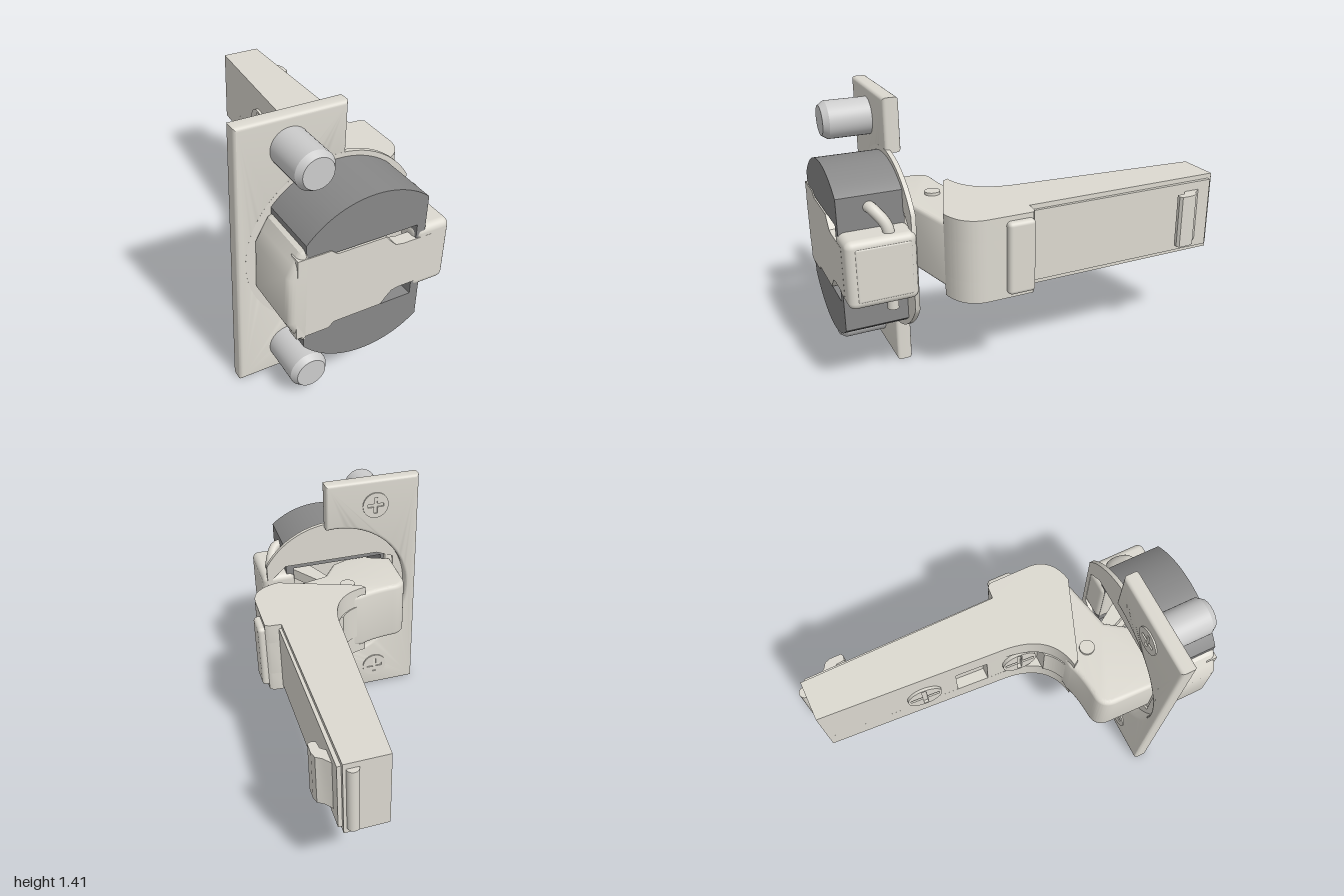
import * as THREE from 'three';
import { toCreasedNormals } from 'three/addons/utils/BufferGeometryUtils.js';
import { RoundedBoxGeometry } from 'three/addons/geometries/RoundedBoxGeometry.js';

const steel = new THREE.MeshStandardMaterial({ color: 0xdcd9d0 });
const dark = new THREE.MeshStandardMaterial({ color: 0x888888 });
const grey = new THREE.MeshStandardMaterial({ color: 0xcccccc });
const CX = -0.03, CY = 0.705; // cup axis

function add(parent, name, geometry, material = steel) {
  const mesh = new THREE.Mesh(geometry, material);
  mesh.name = name;
  parent.add(mesh);
  return mesh;
}

const poly = (pts) => new THREE.Shape(pts.map(([x, y]) => new THREE.Vector2(x, y)));

// Extrude a front outline between two depths, bevel kept inside the outline
function slab(shape, z0, z1, bevel = 0) {
  const g = new THREE.ExtrudeGeometry(shape, {
    depth: z1 - z0 - 2 * bevel, curveSegments: 32, bevelEnabled: bevel > 0,
    bevelSize: bevel, bevelThickness: bevel, bevelOffset: -bevel, bevelSegments: 4,
  });
  g.translate(0, 0, z0 + bevel);
  return toCreasedNormals(g, 0.6);
}

// Extrude a plan outline (x, -z) upwards between two heights
const layer = (shape, y0, y1, bevel = 0) => slab(shape, y0, y1, bevel).rotateX(-Math.PI / 2);
const plan = (pts) => poly(pts.map(([x, z]) => [x, -z]));

// Disc head with a sunken cross, facing +z
function screwHead(name, r, arm, w) {
  const group = new THREE.Group();
  group.name = name;
  const face = new THREE.Shape().absarc(0, 0, r, 0, Math.PI * 2);
  face.holes.push(poly([
    [arm, -w], [arm, w], [w, w], [w, arm], [-w, arm], [-w, w],
    [-arm, w], [-arm, -w], [-w, -w], [-w, -arm], [w, -arm], [w, -w],
  ]));
  add(group, 'crossFace', slab(face, -0.015, 0.01));
  add(group, 'crossFloor', new THREE.CylinderGeometry(r, r, 0.03, 32).rotateX(Math.PI / 2)).position.z = -0.03;
  return group;
}

// Plan of the arm; the recessed version has the window and screw pocket cut in
function armPlan(recessed) {
  const s = new THREE.Shape();
  s.moveTo(0.4, 0.97);
  s.lineTo(0.18, 0.97);
  if (recessed) {
    for (const [x, z] of [[0.131, -0.235], [0.19, -0.235], [0.18, -0.06], [0.119, -0.06],
      [0.115, 0.01], [0.112, 0.235], [0.035, 0.235]]) s.lineTo(x, -z);
    s.quadraticCurveTo(-0.01, -0.3, -0.12, -0.325);
  } else {
    s.lineTo(0.115, 0);
    s.bezierCurveTo(0.11, -0.16, 0.06, -0.3, -0.12, -0.325);
  }
  s.lineTo(-0.1, -0.355);
  s.lineTo(0.33, -0.52);
  s.bezierCurveTo(0.43, -0.505, 0.49, -0.45, 0.49, -0.36);
  for (const [x, z] of [[0.49, 0.13], [0.47, 0.115], [0.405, 0.11]]) s.lineTo(x, -z);
  s.closePath();
  return s;
}

function buildArm() {
  const arm = new THREE.Group();
  arm.name = 'arm';
  add(arm, 'armLower', layer(armPlan(false), 0.5, 0.61));
  add(arm, 'armMiddle', layer(armPlan(true), 0.61, 0.81));
  add(arm, 'armUpper', layer(armPlan(false), 0.81, 0.92));
  add(arm, 'innerPanel', new THREE.BoxGeometry(0.03, 0.37, 1.06)).position.set(0.405, 0.71, -0.42);

  // Narrower elbow running into the cup
  const e = new THREE.Shape();
  e.moveTo(-0.385, -0.67);
  e.lineTo(-0.38, -0.43);
  e.quadraticCurveTo(-0.375, -0.35, -0.3, -0.345);
  e.quadraticCurveTo(-0.18, -0.34, -0.1, -0.31);
  for (const [x, z] of [[0.1, 0.3], [0.35, 0.5], [0.33, 0.52], [0.04, 0.585], [-0.04, 0.7], [-0.2, 0.76], [-0.3, 0.7]]) e.lineTo(x, -z);
  e.closePath();
  add(arm, 'elbow', layer(e, 0.54, 0.88, 0.025));
  add(arm, 'pivotPin', new THREE.CylinderGeometry(0.04, 0.04, 0.37, 24)).position.set(-0.05, 0.71, 0.435);

  // Clips and lips on the inner side and the end
  add(arm, 'sideLip', new RoundedBoxGeometry(0.07, 0.37, 0.14, 3, 0.02)).position.set(0.49, 0.71, 0.2);
  add(arm, 'clip', layer(plan([[0.41, -0.89], [0.45, -0.84], [0.48, -0.82], [0.49, -0.79],
    [0.49, -0.73], [0.475, -0.72], [0.45, -0.725], [0.445, -0.77], [0.41, -0.8]]), 0.57, 0.85));
  add(arm, 'endLip', new THREE.CylinderGeometry(0.03, 0.03, 0.36, 20)).position.set(0.355, 0.71, -0.97);

  // Two adjusting screws along the outer face
  for (const [x, z] of [[0.138, -0.42], [0.1, 0.12]]) {
    const screw = screwHead('adjustingScrew', 0.095, 0.08, 0.012);
    screw.position.set(x, 0.71, z);
    screw.rotation.y = -(Math.PI / 2 + 0.067);
    arm.add(screw);
  }
  return arm;
}

function buildPlate() {
  const plate = new THREE.Group();
  plate.name = 'mountingPlate';
  // Plate with a round pocket open towards +x
  const r = 0.44, a = Math.acos(0.045 / r);
  const s = new THREE.Shape();
  s.moveTo(0.015, 0);
  s.lineTo(0.015, CY - r * Math.sin(a));
  s.absarc(CX, CY, r, -a, a, true);
  for (const [x, y] of [[0.015, 1.412], [-0.528, 1.412], [-0.528, 0]]) s.lineTo(x, y);
  s.closePath();
  add(plate, 'plate', slab(s, 0.605, 0.685, 0.018));

  // Thin round flange with the opening for the arm
  const c = Math.acos(0.39 / 0.457);
  const flange = new THREE.Shape().absarc(CX, CY, 0.457, c, Math.PI * 2 - c);
  flange.holes.push(poly([[-0.4, 0.52], [-0.3, 0.48], [0.25, 0.48], [0.33, 0.55],
    [0.33, 0.86], [0.25, 0.93], [-0.3, 0.93], [-0.4, 0.89]]));
  add(plate, 'flange', slab(flange, 0.662, 0.685));

  // Dowels in front, cross screws behind
  const dowel = [[0, 0], [0.095, 0], [0.095, 0.215], [0.075, 0.245], [0, 0.245]].map((p) => new THREE.Vector2(...p));
  for (const y of [0.15, 1.265]) {
    const g = toCreasedNormals(new THREE.LatheGeometry(dowel, 40).rotateX(Math.PI / 2), 0.5);
    add(plate, 'dowel', g, grey).position.set(-0.27, y, 0.68);
    const screw = screwHead('plateScrew', 0.075, 0.048, 0.01);
    screw.position.set(-0.27, y, 0.607);
    screw.rotation.y = Math.PI;
    plate.add(screw);
  }
  return plate;
}

function buildCup() {
  const cup = new THREE.Group();
  cup.name = 'cup';
  // Round body with flat sides, hollow from behind
  const r = 0.432, a = Math.acos(0.275 / r), b = Math.acos(-0.33 / r);
  const s = new THREE.Shape();
  s.absarc(CX, CY, r, a, b);
  s.absarc(CX, CY, r, -b, -a);
  s.closePath();
  s.holes.push(poly([[-0.33, 0.51], [0.2, 0.51], [0.2, 0.9], [-0.33, 0.9]]));
  add(cup, 'cupBody', slab(s, 0.68, 0.995), dark);

  // Front cover, wide on the left and stepped in on the right
  const half = [[-0.4, 0.215], [-0.24, 0.215], [-0.21, 0.19], [0.035, 0.19], [0.06, 0.16], [0.09, 0.13], [0.13, 0.123], [0.3, 0.123]];
  add(cup, 'frontCover', slab(poly([
    ...half.map(([x, y]) => [x, CY + y]),
    ...half.reverse().map(([x, y]) => [x, CY - y]),
  ]), 0.94, 1.0));

  // Rounded cheeks closing both sides
  add(cup, 'leftCheek', slab(poly([[-0.34, 0.965], [-0.38, 0.945], [-0.41, 0.89], [-0.442, 0.83],
    [-0.442, 0.58], [-0.41, 0.52], [-0.38, 0.465], [-0.34, 0.445]]), 0.67, 1.0, 0.035));
  add(cup, 'rightCheek', new RoundedBoxGeometry(0.19, 0.335, 0.335, 4, 0.035)).position.set(0.29, 0.708, 0.832);
  add(cup, 'rightRidge', new RoundedBoxGeometry(0.03, 0.27, 0.27, 3, 0.012)).position.set(0.373, 0.708, 0.825);

  // Bent spring wire through the right cheek
  const wire = new THREE.CatmullRomCurve3([[0.22, 0.98, 0.85], [0.27, 0.975, 0.835], [0.315, 0.9, 0.785],
    [0.318, 0.8, 0.78], [0.318, 0.487, 0.78]].map((p) => new THREE.Vector3(...p)));
  add(cup, 'springWire', new THREE.TubeGeometry(wire, 40, 0.028, 14));
  add(cup, 'springWireEnd', new THREE.CircleGeometry(0.028, 14).rotateX(Math.PI / 2)).position.set(0.318, 0.487, 0.78);

  // Links joining the elbow to the cup
  for (const y of [0.6, 0.81]) {
    add(cup, 'link', layer(plan([[-0.02, 0.56], [0.06, 0.58], [0.23, 0.84], [0.2, 0.9], [0.12, 0.88]]), y - 0.03, y + 0.03));
  }
  return cup;
}

export function createModel() {
  const model = new THREE.Group();
  model.name = 'cabinetHinge';
  model.add(buildArm(), buildPlate(), buildCup());
  return model;
}
